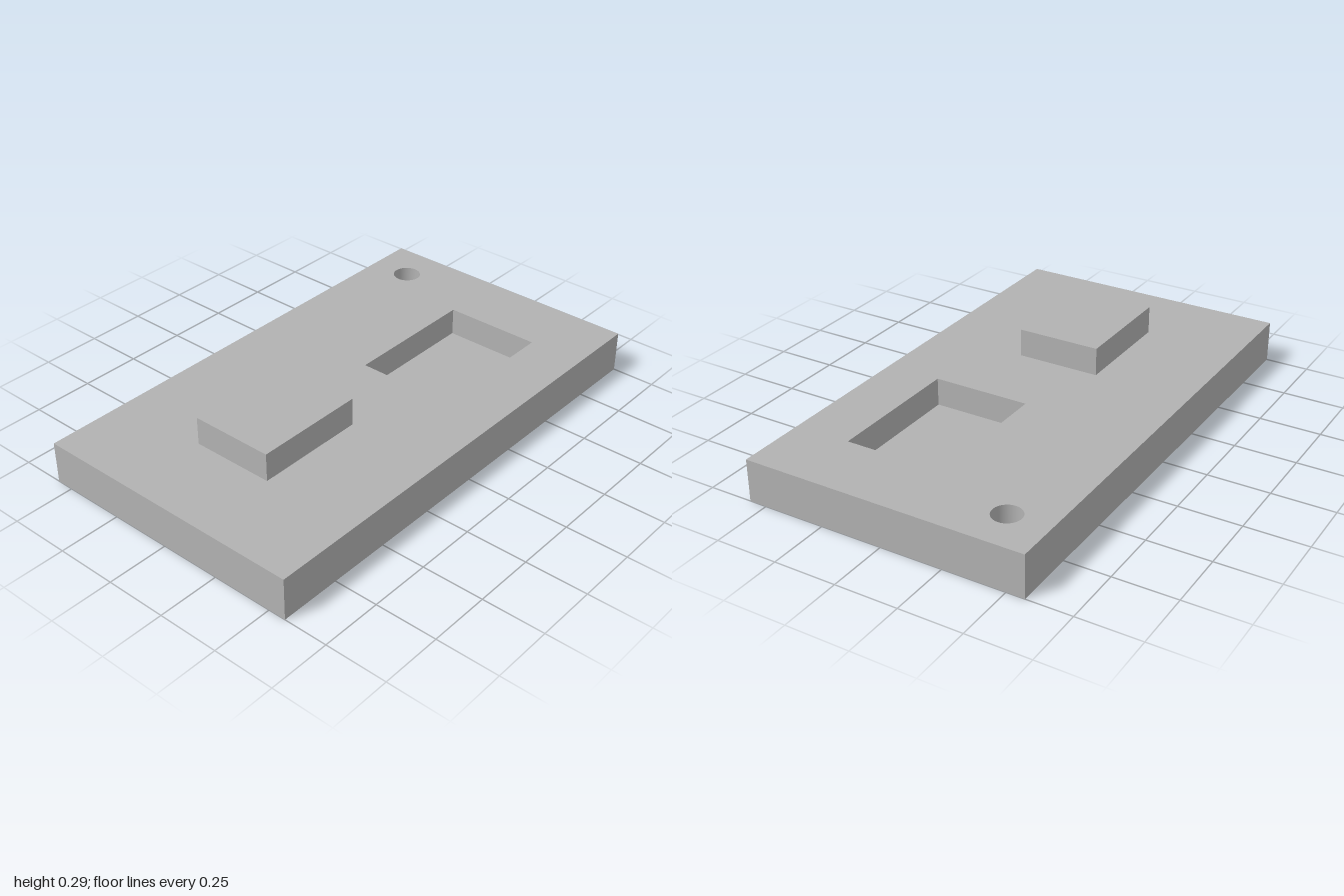
import * as THREE from 'three';
import { mergeGeometries } from 'three/addons/utils/BufferGeometryUtils.js';

// Layout in plate units: the plate is 35 units long
const U = 2 / 35;
const PLATE = { w: 35, d: 20, x: 0, z: 0 };
const BOSS = { w: 8, d: 6, x: -7.5, z: 0 };
const TOP_POCKET = { w: 10, d: 7, x: 7.5, z: 2.5 };
const BOTTOM_POCKET = { w: 6, d: 4, x: 7.5, z: -5 };
const HOLE = { r: 1, x: 14.5, z: -7 };
const THICKNESS = 3, BOSS_HEIGHT = 2, TOP_DEPTH = 2, BOTTOM_DEPTH = 1;

// Four upright walls around a rectangle, facing outward or inward
function walls({ w, d, x, z }, y0, y1, inward = false) {
  const sides = [];
  for (let k = 0; k < 4; k++) {
    const alongX = k % 2 === 0;
    const g = new THREE.PlaneGeometry(alongX ? w : d, y1 - y0);
    if (inward) g.rotateY(Math.PI);
    g.translate(0, 0, (alongX ? d : w) / 2);
    g.rotateY(k * Math.PI / 2);
    g.translate(x, (y0 + y1) / 2, z);
    sides.push(g);
  }
  return mergeGeometries(sides);
}

function traceRect(path, { w, d, x, z }, flip) {
  const y = z * flip;
  path.moveTo(x - w / 2, y - d / 2);
  path.lineTo(x + w / 2, y - d / 2);
  path.lineTo(x + w / 2, y + d / 2);
  path.lineTo(x - w / 2, y + d / 2);
  path.closePath();
  return path;
}

// Horizontal face, optionally cut by a pocket and the round hole
function face(rect, y, up, pocket) {
  const flip = up ? -1 : 1;
  const shape = traceRect(new THREE.Shape(), rect, flip);
  if (pocket) {
    shape.holes.push(traceRect(new THREE.Path(), pocket, flip));
    shape.holes.push(new THREE.Path().absarc(HOLE.x, HOLE.z * flip, HOLE.r, 0, Math.PI * 2, true));
  }
  return new THREE.ShapeGeometry(shape, 24).rotateX(flip * Math.PI / 2).translate(0, y, 0);
}

export function createModel() {
  const group = new THREE.Group();
  group.name = 'machinedPlate';
  const grey = new THREE.MeshStandardMaterial({ color: 0xb2b2b2 });
  grey.name = 'grey';

  const add = (name, geometry) => {
    const mesh = new THREE.Mesh(geometry.scale(U, U, U), grey);
    mesh.name = name;
    group.add(mesh);
  };

  // Plate skin
  add('plateSides', walls(PLATE, 0, THICKNESS));
  add('plateTop', face(PLATE, THICKNESS, true, TOP_POCKET));
  add('plateBottom', face(PLATE, 0, false, BOTTOM_POCKET));

  // Raised block
  add('boss', new THREE.BoxGeometry(BOSS.w, BOSS_HEIGHT, BOSS.d)
    .translate(BOSS.x, THICKNESS + BOSS_HEIGHT / 2, BOSS.z));

  // Blind pocket cut from above
  const topFloor = THICKNESS - TOP_DEPTH;
  add('topPocketWalls', walls(TOP_POCKET, topFloor, THICKNESS, true));
  add('topPocketFloor', face(TOP_POCKET, topFloor, true));

  // Shallow pocket cut from below
  add('bottomPocketWalls', walls(BOTTOM_POCKET, 0, BOTTOM_DEPTH, true));
  add('bottomPocketFloor', face(BOTTOM_POCKET, BOTTOM_DEPTH, false));

  // Round through hole; the profile runs downward so it faces inward
  const profile = [new THREE.Vector2(HOLE.r, THICKNESS), new THREE.Vector2(HOLE.r, 0)];
  add('throughHole', new THREE.LatheGeometry(profile, 48).translate(HOLE.x, 0, HOLE.z));

  return group;
}
